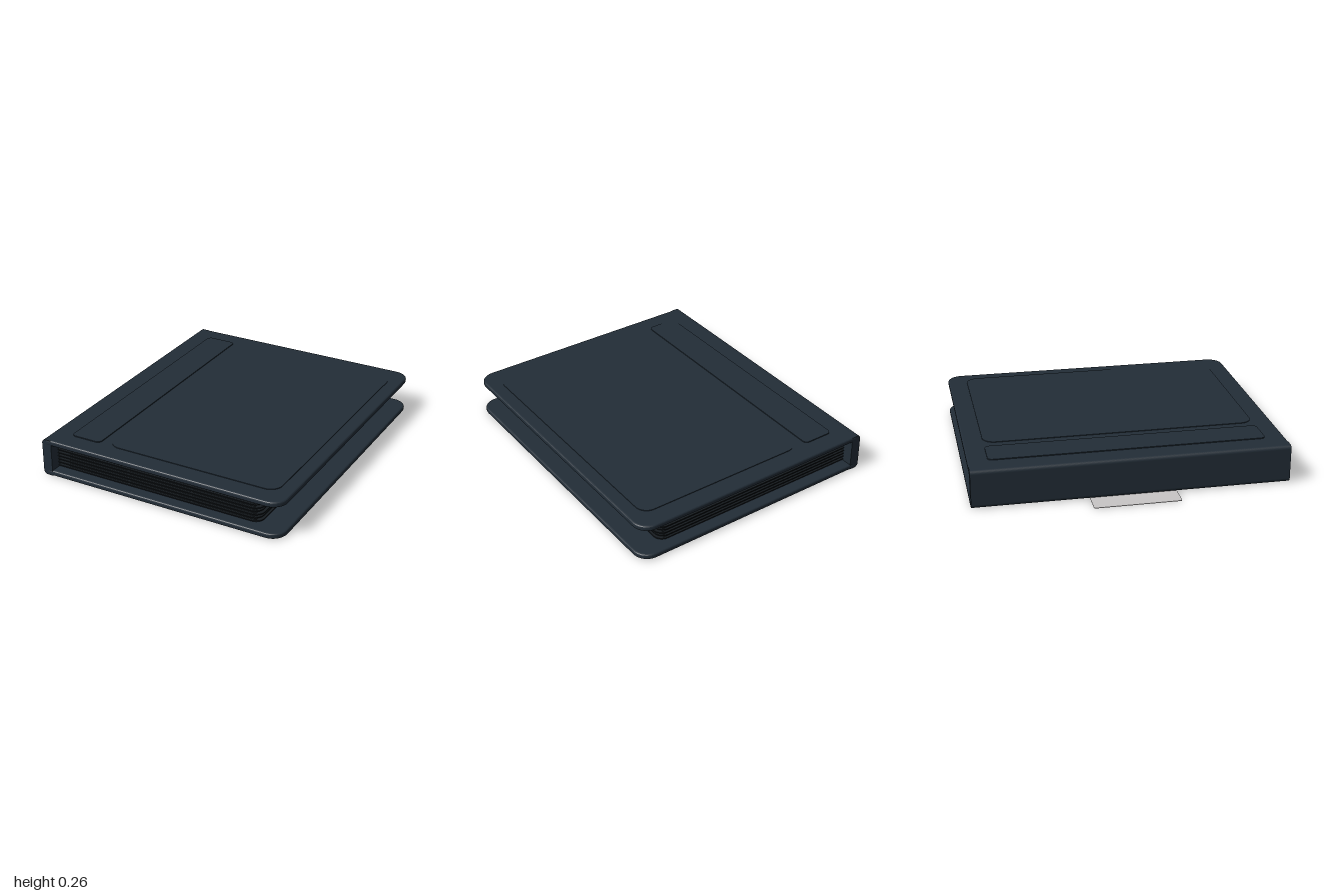
import * as THREE from 'three';

const coverMat = new THREE.MeshStandardMaterial({ color: 0x222d37 });
coverMat.name = 'slate cover';
const pageMat = new THREE.MeshStandardMaterial({ color: 0x171c20 });
pageMat.name = 'black page';
const tabMat = new THREE.MeshStandardMaterial({ color: 0xc8c6c6 });
tabMat.name = 'pale grey tab';

// Horizontal plate: x0..x1 by z0..z1, rl / rr = corner radii on the -x / +x side
function plate(name, mat, [x0, x1, z0, z1], y0, y1, rl, rr, bevel = 0) {
  const b = bevel, s = new THREE.Shape();
  const l = x0 + b, r = x1 - b, d = -z1 + b, u = -z0 - b;
  const a = Math.max(rl - b, 0.001), c = Math.max(rr - b, 0.001);
  s.moveTo(l + a, d);
  s.lineTo(r - c, d);
  s.absarc(r - c, d + c, c, -Math.PI / 2, 0);
  s.lineTo(r, u - c);
  s.absarc(r - c, u - c, c, 0, Math.PI / 2);
  s.lineTo(l + a, u);
  s.absarc(l + a, u - a, a, Math.PI / 2, Math.PI);
  s.lineTo(l, d + a);
  s.absarc(l + a, d + a, a, Math.PI, Math.PI * 1.5);
  const g = new THREE.ExtrudeGeometry(s, {
    depth: y1 - y0 - 2 * b, bevelEnabled: b > 0, bevelSize: b,
    bevelThickness: b, bevelSegments: 3, curveSegments: 10,
  });
  g.rotateX(-Math.PI / 2);
  g.translate(0, y0 + b, 0);
  const m = new THREE.Mesh(g, mat);
  m.name = name;
  return m;
}

// Spine: rounded outer edges in section, run along z
function spine() {
  const s = new THREE.Shape(), r = 0.025, x0 = -0.77, x1 = -0.705, y0 = 0.002, y1 = 0.249;
  s.moveTo(x1, y0);
  s.lineTo(x1, y1);
  s.lineTo(x0 + r, y1);
  s.absarc(x0 + r, y1 - r, r, Math.PI / 2, Math.PI);
  s.lineTo(x0, y0 + r);
  s.absarc(x0 + r, y0 + r, r, Math.PI, Math.PI * 1.5);
  const g = new THREE.ExtrudeGeometry(s, { depth: 1.996, bevelEnabled: false, curveSegments: 8 });
  g.translate(0, 0, -0.998);
  const m = new THREE.Mesh(g, coverMat);
  m.name = 'spine';
  return m;
}

export function createModel() {
  const album = new THREE.Group();
  album.name = 'cardAlbum';

  // Covers and spine
  const coverArea = [-0.745, 0.9, -1, 1];
  album.add(plate('bottomCover', coverMat, coverArea, 0.002, 0.037, 0.012, 0.1, 0.011));
  album.add(plate('topCover', coverMat, coverArea, 0.214, 0.25, 0.012, 0.1, 0.011));
  album.add(spine());

  // Raised panels on the top cover
  album.add(plate('narrowPanel', coverMat, [-0.63, -0.42, -0.875, 0.875], 0.248, 0.256, 0.03, 0.03));
  album.add(plate('widePanel', coverMat, [-0.36, 0.81, -0.875, 0.875], 0.248, 0.254, 0.08, 0.08));

  // Sheets, each with a 3 x 3 grid of pockets on both faces
  const pocketGeo = new THREE.BoxGeometry(0.433, 0.002, 0.605);
  const pages = new THREE.Group();
  pages.name = 'pages';
  for (let i = 0; i < 8; i++) {
    const y = 0.047 + i * 0.0222;
    const right = 0.735 - (i % 2) * 0.006;
    pages.add(plate('sheet', pageMat, [-0.71, right, -0.93, 0.93], y - 0.0035, y + 0.0035, 0.005, 0.06));
    for (const side of [-1, 1])
      for (let col = 0; col < 3; col++)
        for (let row = -1; row <= 1; row++) {
          const pocket = new THREE.Mesh(pocketGeo, pageMat);
          pocket.name = 'pocket';
          pocket.position.set(-0.406 + col * 0.445, y + side * 0.0055, row * 0.615);
          pages.add(pocket);
        }
  }
  album.add(pages);

  // Flat tab tucked under the spine
  album.add(plate('tab', tabMat, [-0.9, -0.63, -0.273, 0.273], 0, 0.003, 0.012, 0.012));
  return album;
}
